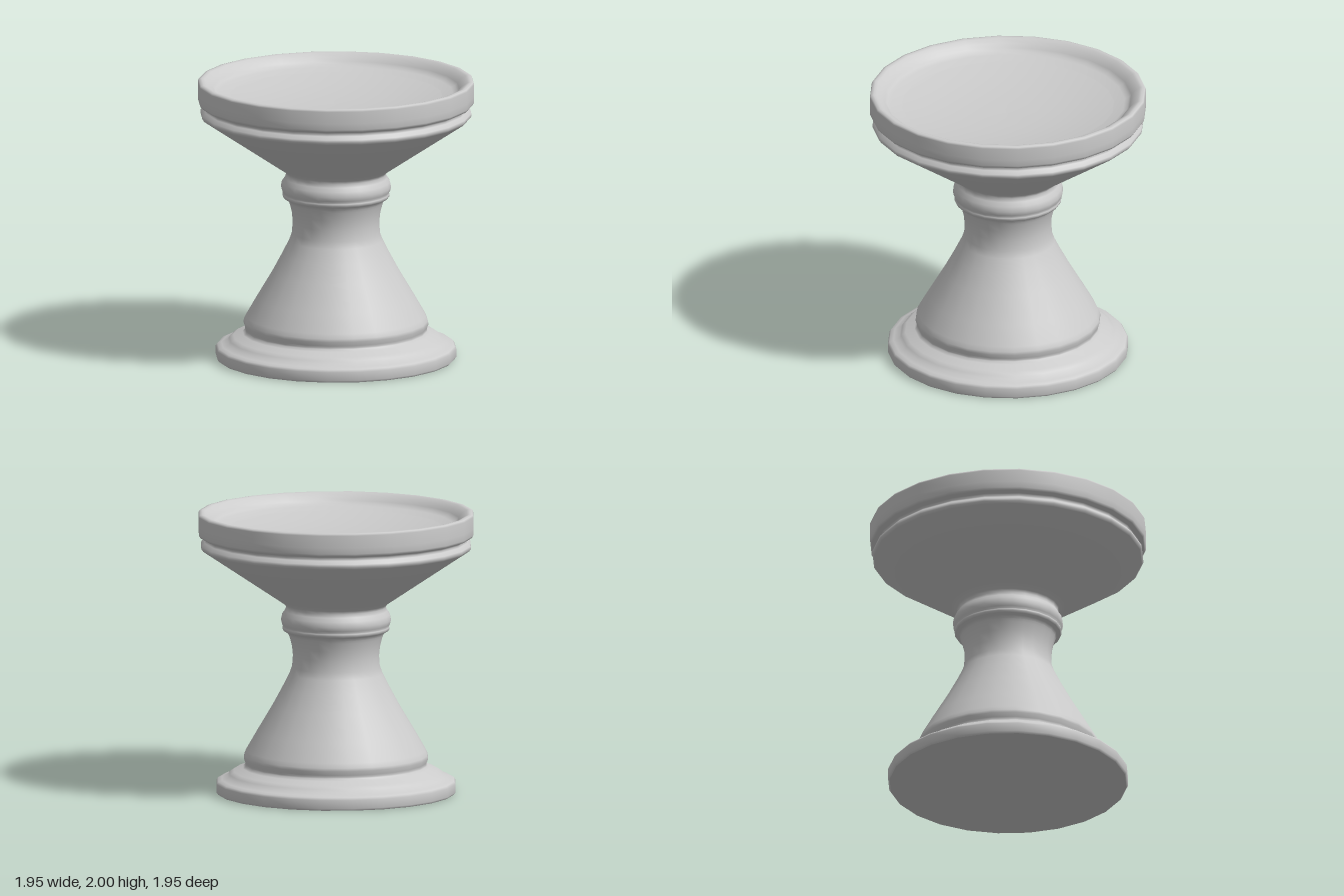
import * as THREE from 'three';

const SIDES = 24;
const material = new THREE.MeshStandardMaterial({ color: 0xcccccc });

// Turns a profile of [radius, height] pairs around the vertical axis.
function turned(name, profile) {
  const points = profile.map(([r, y]) => new THREE.Vector2(r, y));
  const mesh = new THREE.Mesh(new THREE.LatheGeometry(points, SIDES), material);
  mesh.name = name;
  return mesh;
}

// Neighbouring parts meet on straight stretches of the profile, so shading runs on smoothly.
export function createModel() {
  const model = new THREE.Group();
  model.name = 'pedestalStand';

  model.add(
    // Flat underside
    turned('underside', [[0, 0], [0.838, 0]]),

    // Stepped foot
    turned('foot', [
      [0.838, 0], [0.85, 0.015], [0.85, 0.075], [0.838, 0.092], [0.81, 0.102],
      [0.768, 0.118], [0.755, 0.138], [0.725, 0.158], [0.66, 0.182], [0.643, 0.197],
      [0.643, 0.208],
    ]),

    // Flared stem narrowing to the neck
    turned('stem', [
      [0.643, 0.208], [0.643, 0.22], [0.654, 0.25], [0.65, 0.272], [0.635, 0.305],
      [0.56, 0.435], [0.45, 0.62], [0.38, 0.75], [0.33, 0.85], [0.312, 0.9],
      [0.306, 0.98], [0.313, 1.05], [0.328, 1.11], [0.336, 1.13],
    ]),

    // Thin ring and rounded collar
    turned('collar', [
      [0.336, 1.13], [0.345, 1.15], [0.37, 1.158], [0.379, 1.172], [0.378, 1.184],
      [0.373, 1.192], [0.382, 1.205], [0.39, 1.235], [0.382, 1.272], [0.362, 1.3],
      [0.352, 1.325], [0.362, 1.346], [0.4, 1.372],
    ]),

    // Conical bowl with its upper bead and groove
    turned('bowl', [
      [0.4, 1.372], [0.655, 1.543], [0.945, 1.737], [0.959, 1.755], [0.957, 1.775],
      [0.932, 1.797], [0.925, 1.81], [0.934, 1.824], [0.965, 1.834], [0.976, 1.852],
      [0.976, 1.9],
    ]),

    // Upright band rolling over into the lip
    turned('rim', [
      [0.976, 1.9], [0.977, 1.982], [0.97, 1.996], [0.95, 2], [0.93, 1.995],
      [0.895, 1.972], [0.872, 1.945], [0.855, 1.926], [0.825, 1.914], [0.75, 1.896],
    ]),

    // Shallow dished top
    turned('dish', [[0.75, 1.896], [0.6, 1.867], [0.4, 1.843], [0.2, 1.831], [0, 1.828]]),
  );

  return model;
}
